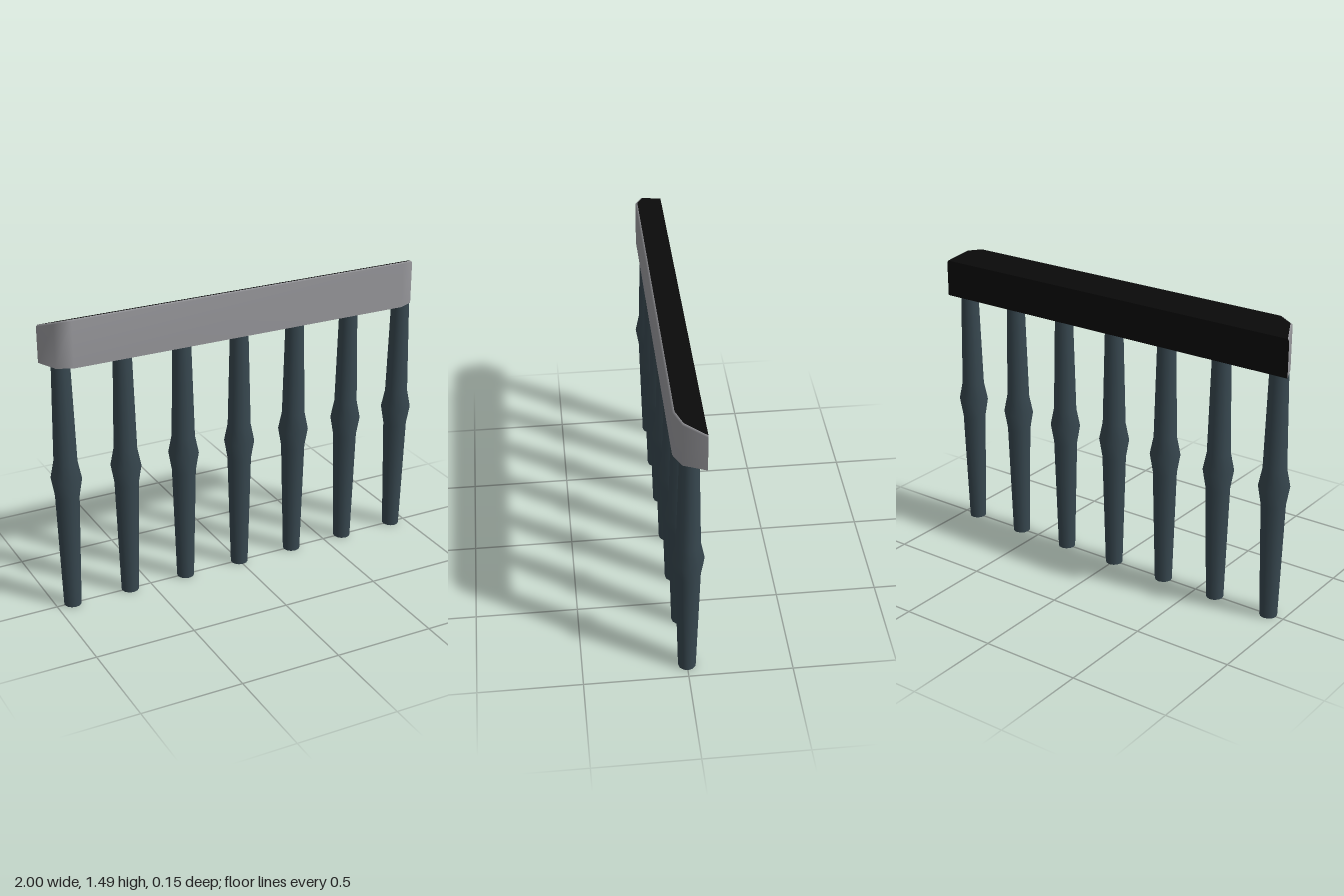
import * as THREE from 'three';

const steel = new THREE.MeshStandardMaterial({ color: 0x37474f });
steel.name = 'slate blue';
const grey = new THREE.MeshStandardMaterial({ color: 0x97979b });
grey.name = 'mid grey';
const black = new THREE.MeshStandardMaterial({ color: 0x0a0a0a });
black.name = 'black';

const RAIL_BOTTOM = 1.26;
// height of the rail's sloping top at depth z
const topAt = (z) => 1.471 + 0.37 * z;

function surface(name, points, index, material) {
  const geometry = new THREE.BufferGeometry();
  geometry.setAttribute('position', new THREE.Float32BufferAttribute(points.flat(), 3));
  geometry.setIndex(index);
  geometry.computeVertexNormals();
  const mesh = new THREE.Mesh(geometry, material);
  mesh.name = name;
  return mesh;
}

// mirrors half a plan outline into a run from the -x back corner to the +x back corner
const mirrored = (half) => [
  ...half.map(([x, z]) => [-x, z]),
  ...half.slice().reverse(),
];

function createRail() {
  const rail = new THREE.Group();
  rail.name = 'handrail';
  const outer = mirrored([[1, -0.07], [0.955, 0.035], [0.88, 0.07]]);
  const inner = mirrored([[0.993, -0.07], [0.947, 0.029], [0.877, 0.06]]);
  const n = outer.length;

  // three loops: bottom edge, shoulder, top edge after a small bevel
  const bottom = outer.map(([x, z]) => [x, RAIL_BOTTOM, z]);
  const shoulder = outer.map(([x, z]) => [x, topAt(z) - 0.009, z]);
  const top = inner.map(([x, z]) => [x, topAt(z), z]);

  // front and chamfered ends
  const walls = [];
  for (let row = 0; row < 2; row++) {
    for (let i = 0; i < n - 1; i++) {
      const a = row * n + i;
      walls.push(a, a + 1, a + n + 1, a, a + n + 1, a + n);
    }
  }
  rail.add(surface('railFront', [...bottom, ...shoulder, ...top], walls, grey));

  // flat faces, each as a fan
  const fan = (count) => {
    const index = [];
    for (let i = 1; i < count - 1; i++) index.push(0, i, i + 1);
    return index;
  };
  rail.add(surface('railUnderside', bottom.slice().reverse(), fan(n), grey));
  rail.add(surface('railTop', top, fan(n), black));
  const back = [bottom[n - 1], bottom[0], shoulder[0], top[0], top[n - 1], shoulder[n - 1]];
  rail.add(surface('railBack', back, fan(back.length), black));
  return rail;
}

function createBaluster() {
  const baluster = new THREE.Group();
  baluster.name = 'baluster';
  const profile = [[0.043, 0], [0.059, 0.59], [0.075, 0.685], [0.057, 0.775], [0.045, RAIL_BOTTOM]]
    .map(([r, y]) => new THREE.Vector2(r, y));
  const shaft = new THREE.Mesh(new THREE.LatheGeometry(profile, 12), steel);
  shaft.name = 'balusterShaft';
  const foot = new THREE.Mesh(new THREE.CircleGeometry(0.043, 12), steel);
  foot.name = 'balusterFoot';
  foot.rotation.x = Math.PI / 2;
  baluster.add(shaft, foot);
  return baluster;
}

export function createModel() {
  const model = new THREE.Group();
  model.name = 'balustrade';
  model.add(createRail());
  for (let i = -3; i <= 3; i++) {
    const baluster = createBaluster();
    baluster.position.x = i * 0.306;
    model.add(baluster);
  }
  return model;
}
